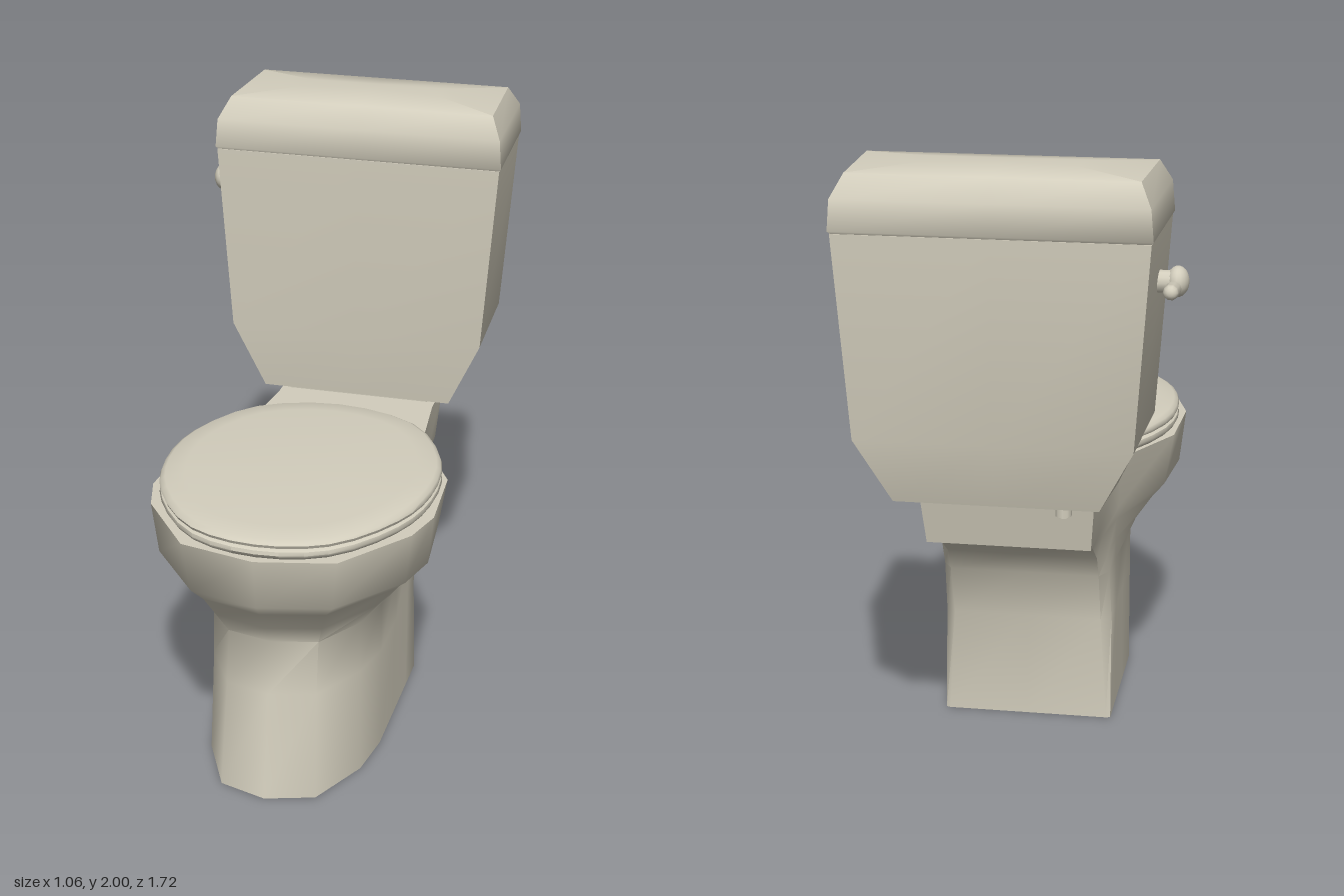
import * as THREE from 'three';
import { toCreasedNormals } from 'three/addons/utils/BufferGeometryUtils.js';

const CX = 0.03; // the symmetry axis sits slightly to +x because of the flush handle

// Mirror a half outline (front middle -> +x side -> back middle) into a closed one
function mirror(half) {
  const other = half.slice(1, -1).reverse().map(([x, z]) => [-x, z]);
  return [...half, ...other];
}

// Ring of 3D points at height y (number or function of z)
const ring = (half, y) => mirror(half).map(([x, z]) =>
  new THREE.Vector3(x, typeof y === 'function' ? y(z) : y, z));

// Skin a stack of rings from bottom to top and cap both ends
function loft(rings, crease) {
  const n = rings[0].length, pos = [];
  const tri = (a, b, c) => pos.push(...a, ...b, ...c);
  for (let r = 0; r < rings.length - 1; r++) {
    for (let i = 0; i < n; i++) {
      const j = (i + 1) % n, lo = rings[r], hi = rings[r + 1];
      tri(lo[i], lo[j], hi[j]);
      tri(lo[i], hi[j], hi[i]);
    }
  }
  const cap = (pts, up) => {
    const c = pts.reduce((s, p) => s.add(p), new THREE.Vector3()).divideScalar(n);
    for (let i = 0; i < n; i++) {
      const a = pts[i], b = pts[(i + 1) % n];
      if (up) tri(c, a, b); else tri(c, b, a);
    }
  };
  cap(rings[0], false);
  cap(rings[rings.length - 1], true);
  const g = new THREE.BufferGeometry();
  g.setAttribute('position', new THREE.Float32BufferAttribute(pos, 3));
  return toCreasedNormals(g, crease);
}

export function createModel() {
  const model = new THREE.Group();
  model.name = 'toilet';
  const ceramic = new THREE.MeshStandardMaterial({ color: 0xd2cdbc });
  ceramic.name = 'ivoryCeramic';

  const add = (name, geo, x = CX, y = 0, z = 0) => {
    const m = new THREE.Mesh(geo, ceramic);
    m.name = name;
    m.position.set(x, y, z);
    model.add(m);
    return m;
  };

  // Pedestal, bowl and rear shelf in one skin
  const rim = [[0, 0.857], [0.25, 0.80], [0.43, 0.56], [0.47, 0.42], [0.455, 0.14],
    [0.31, -0.13], [0.28, -0.42], [0.28, -0.59], [0, -0.59]];
  const underRim = [[0, 0.83], [0.23, 0.775], [0.41, 0.55], [0.45, 0.4], [0.425, 0.13],
    [0.30, -0.13], [0.27, -0.4], [0.265, -0.555], [0, -0.555]];
  const flare = [[0, 0.79], [0.2, 0.74], [0.36, 0.53], [0.405, 0.38], [0.385, 0.12],
    [0.293, -0.12], [0.27, -0.3], [0.25, -0.41], [0, -0.41]];
  const throat = [[0, 0.735], [0.175, 0.69], [0.305, 0.5], [0.345, 0.36], [0.33, 0.12],
    [0.288, -0.1], [0.28, -0.24], [0.25, -0.295], [0, -0.295]];
  const waist = [[0, 0.675], [0.15, 0.64], [0.25, 0.48], [0.285, 0.34], [0.285, 0.12],
    [0.285, -0.07], [0.28, -0.2], [0.25, -0.25], [0, -0.25]];
  const shin = [[0, 0.705], [0.15, 0.665], [0.25, 0.49], [0.285, 0.34], [0.285, 0.12],
    [0.285, -0.05], [0.283, -0.16], [0.25, -0.19], [0, -0.19]];
  const foot = [[0, 0.765], [0.16, 0.715], [0.26, 0.51], [0.285, 0.34], [0.285, 0.12],
    [0.285, -0.05], [0.285, -0.185], [0.27, -0.19], [0, -0.19]];
  add('bowlAndPedestal', loft([ring(foot, 0), ring(shin, 0.36), ring(waist, 0.54),
    ring(throat, 0.62), ring(flare, 0.70), ring(underRim, 0.745), ring(rim, 0.92)], 1.0));

  // Seat and lid share one rounded outline
  const lidHalf = [[0, 0.84], [0.22, 0.78], [0.39, 0.57], [0.45, 0.36], [0.43, 0.12],
    [0.28, -0.13], [0, -0.22]];
  const curve = new THREE.CatmullRomCurve3(
    mirror(lidHalf).map(([x, z]) => new THREE.Vector3(x, 0, z)), true);
  const outline = curve.getPoints(36).slice(0, 36);
  const disc = (levels) => loft(levels.map(([y, s, droop = 0]) => outline.map((p) => {
    const z = 0.31 + (p.z - 0.31) * s;
    return new THREE.Vector3(p.x * s, y - droop * Math.max(0, z - 0.4), z);
  })), 0.8);
  add('seat', disc([[0.92, 0.97], [0.926, 0.985], [0.938, 1], [0.95, 0.995], [0.957, 0.97]]));
  add('seatLid', disc([[0.956, 0.96], [0.961, 0.99], [0.972, 1], [0.984, 0.99, 0.015],
    [0.993, 0.96, 0.02], [1.0, 0.82, 0.02]]));
  add('seatHinge', new THREE.BoxGeometry(0.34, 0.06, 0.08), CX, 0.945, -0.13);

  // Neck joining shelf and tank
  add('tankNeck', new THREE.BoxGeometry(0.5, 0.06, 0.13), CX, 0.935, -0.523);

  // Tank: tapered box with a sloping underside
  const box = (w, zf, zb) => [[0, zf], [w, zf], [w - 0.015, zb], [0, zb]];
  add('tank', loft([
    ring(box(0.335, -0.43, -0.78), (z) => 0.935 - (z + 0.43) * 0.07),
    ring(box(0.445, -0.405, -0.84), 1.17),
    ring(box(0.492, -0.403, -0.857), 1.81),
  ], 0.9));

  // Domed tank cover
  add('tankCover', loft([
    ring(box(0.485, -0.41, -0.85), 1.805),
    ring(box(0.498, -0.402, -0.86), 1.818),
    ring(box(0.49, -0.405, -0.86), 1.915),
    ring(box(0.455, -0.455, -0.81), 1.985),
    ring(box(0.25, -0.58, -0.68), 2.0),
  ], 0.9));

  // Flush handle on the right side: stem, knob and lever
  const stem = add('handleStem', new THREE.CylinderGeometry(0.035, 0.035, 0.07, 12), -0.465, 1.645, -0.61);
  stem.rotation.z = Math.PI / 2;
  add('handleKnob', new THREE.SphereGeometry(0.05, 16, 12), -0.5, 1.645, -0.605).scale.set(0.7, 0.95, 1);
  const lever = add('handleLever', new THREE.CapsuleGeometry(0.024, 0.12, 4, 10), -0.492, 1.635, -0.675);
  lever.rotation.x = -Math.PI / 2 + 0.12;

  // Water inlet under the tank
  add('waterInlet', new THREE.CylinderGeometry(0.018, 0.018, 0.08, 10), -0.17, 0.95, -0.705);
  add('inletNut', new THREE.CylinderGeometry(0.026, 0.026, 0.03, 10), -0.17, 0.93, -0.705);

  return model;
}
